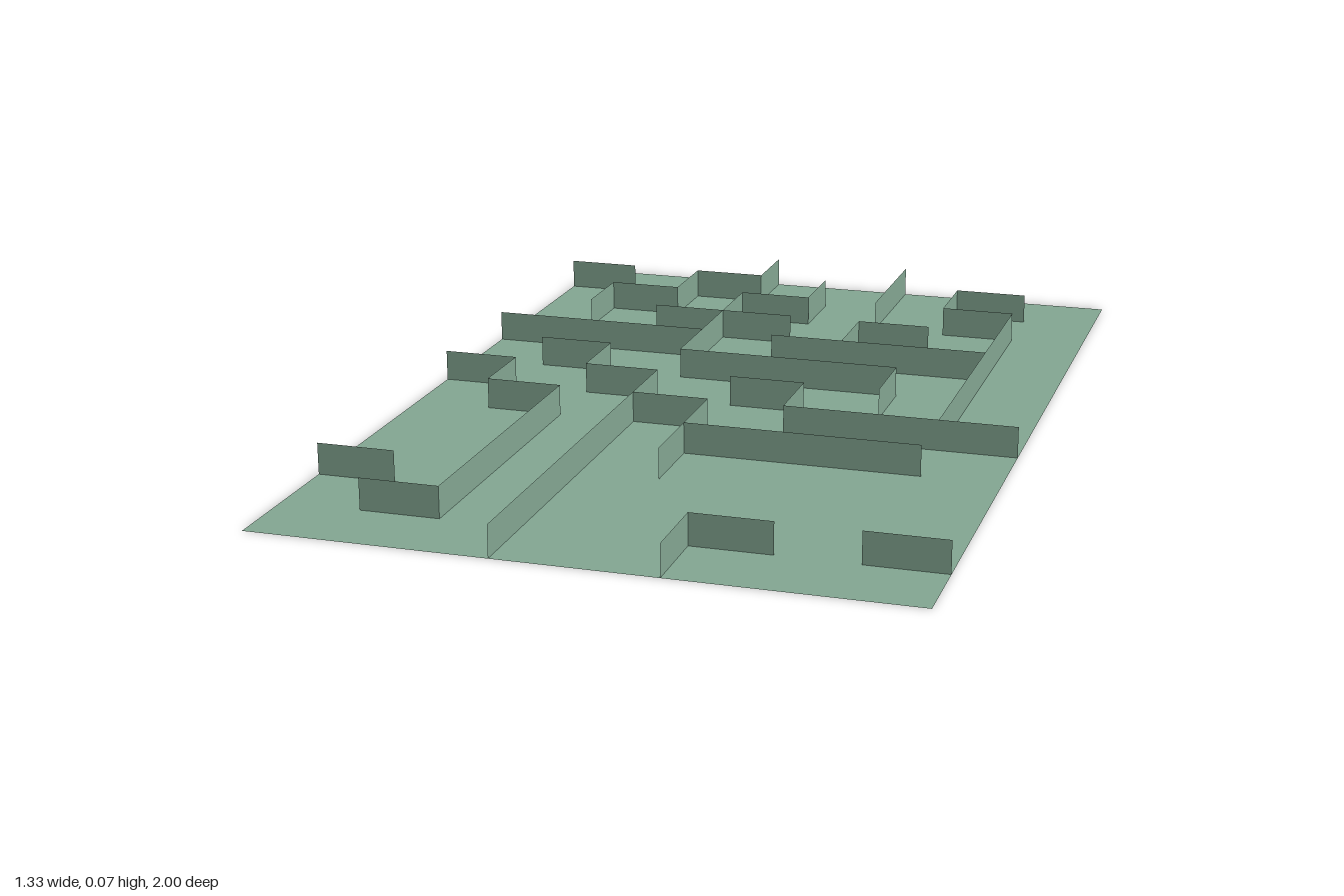
import * as THREE from 'three';

const CELL = 1 / 6;      // maze grid pitch
const COLS = 8;
const ROWS = 12;
const HEIGHT = 0.067;

// Each path is a run of wall corners [column, row], columns from the
// model's right side, rows counted from the front edge.
const PATHS = [
  [[0, 2], [1, 2]],
  [[1, 1], [2, 1], [2, 5], [1, 5], [1, 6], [0, 6]],
  [[3, 0], [3, 6], [2, 6], [2, 7], [1, 7]],
  [[3, 5], [4, 5], [4, 3]],
  [[4, 4], [7, 4]],
  [[5, 0], [5, 1], [6, 1]],
  [[7, 1], [8, 1]],
  [[4, 6], [5, 6], [5, 5], [8, 5]],
  [[7, 5], [7, 10], [6, 10], [6, 11], [7, 11]],
  [[4, 8], [7, 8]],
  [[5, 8], [5, 9], [6, 9]],
  [[6, 6], [6, 7], [3, 7], [3, 10], [4, 10], [4, 11]],
  [[0, 8], [3, 8]],
  [[2, 9], [4, 9]],
  [[1, 9], [1, 10], [2, 10], [2, 11], [3, 11], [3, 12]],
  [[0, 11], [1, 11]],
  [[5, 10], [5, 12]],
];

export function createModel() {
  const sage = new THREE.MeshStandardMaterial({ color: 0x82a591, side: THREE.DoubleSide });
  sage.name = 'sage green';
  const model = new THREE.Group();
  model.name = 'maze';

  // Flat floor sheet
  const floor = new THREE.Mesh(new THREE.PlaneGeometry(COLS * CELL, ROWS * CELL), sage);
  floor.name = 'floor';
  floor.rotation.x = -Math.PI / 2;
  model.add(floor);

  // Upright sheet walls, one panel per straight stretch
  const toX = (c) => (c - COLS / 2) * CELL;
  const toZ = (r) => (ROWS / 2 - r) * CELL;
  PATHS.forEach((path, p) => {
    const run = new THREE.Group();
    run.name = `wallRun${p + 1}`;
    for (let k = 1; k < path.length; k++) {
      const [c0, r0] = path[k - 1];
      const [c1, r1] = path[k];
      const length = (Math.abs(c1 - c0) + Math.abs(r1 - r0)) * CELL;
      const wall = new THREE.Mesh(new THREE.PlaneGeometry(length, HEIGHT), sage);
      wall.name = 'wallPanel';
      wall.position.set(toX((c0 + c1) / 2), HEIGHT / 2, toZ((r0 + r1) / 2));
      if (c0 === c1) wall.rotation.y = Math.PI / 2;
      run.add(wall);
    }
    model.add(run);
  });

  return model;
}
